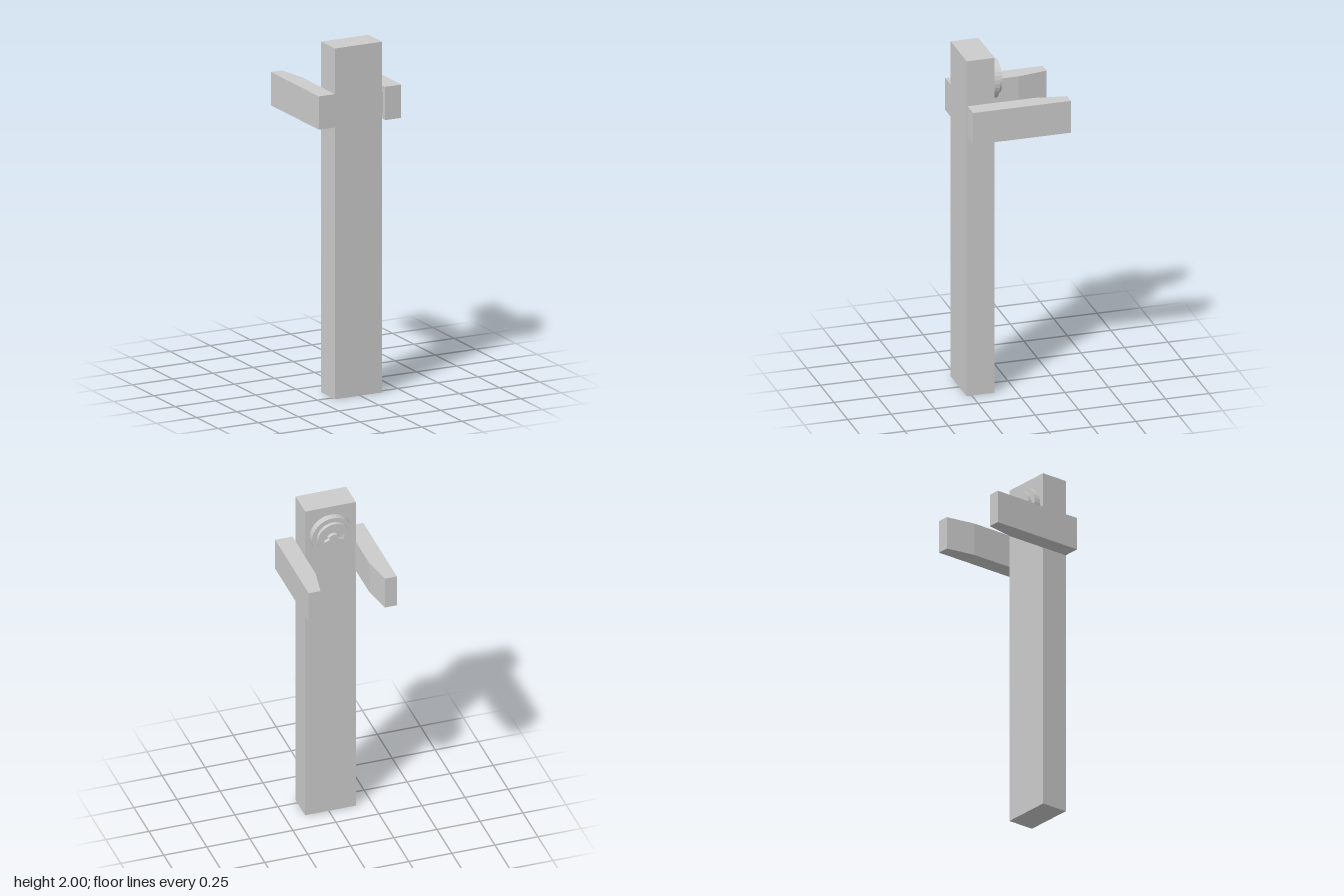
import * as THREE from 'three';

const material = new THREE.MeshStandardMaterial({ color: 0xcccccc, flatShading: true });

function part(parent, name, geometry, x = 0, y = 0, z = 0) {
  const mesh = new THREE.Mesh(geometry, material);
  mesh.name = name;
  mesh.position.set(x, y, z);
  parent.add(mesh);
  return mesh;
}

// Outline of a double-headed curved arrow
function arrowOutline() {
  const points = [];
  const at = (r, a) => points.push(new THREE.Vector2(r * Math.cos(a), r * Math.sin(a) - 0.01));
  const start = 0.45, end = Math.PI - start, steps = 12;
  for (let i = 0; i <= steps; i++) at(0.052, start + (end - start) * i / steps);
  at(0.066, end);
  at(0.056, end + 0.55);
  at(0.022, end);
  for (let i = 0; i <= steps; i++) at(0.036, end - (end - start) * i / steps);
  at(0.022, start);
  at(0.056, start - 0.55);
  at(0.066, start);
  return points;
}

// Arm seen from above, with its inner face tapering toward the tip
function armGeometry(side) {
  const outline = [[0.156, -0.28], [0.256, -0.28], [0.256, 0.282], [0.187, 0.282], [0.156, 0.11]]
    .map(([x, y]) => new THREE.Vector2(x * side, y));
  const geometry = new THREE.ExtrudeGeometry(new THREE.Shape(outline), { depth: 0.19, bevelEnabled: false });
  return geometry.rotateX(-Math.PI / 2);
}

export function createModel() {
  const model = new THREE.Group();
  model.name = 'postWithArms';

  // Upright post
  part(model, 'post', new THREE.BoxGeometry(0.294, 2, 0.16), -0.01, 1, 0.2);

  // Arms on both sides; the left one stands off on a small spacer
  part(model, 'rightArm', armGeometry(-1), 0, 1.55, 0);
  part(model, 'leftArm', armGeometry(1), 0, 1.55, 0);
  part(model, 'spacer', new THREE.BoxGeometry(0.02, 0.12, 0.07), 0.1465, 1.645, 0.22);

  // Stepped round dial on the back of the post
  const dial = new THREE.Group();
  dial.name = 'dial';
  dial.position.set(-0.01, 1.828, 0.12);
  dial.rotation.y = Math.PI;
  model.add(dial);
  part(dial, 'dialBase', new THREE.CylinderGeometry(0.121, 0.121, 0.04, 32).rotateX(Math.PI / 2), 0, 0, 0.02);

  // Dial face with the arrow cut into it
  const face = new THREE.Shape().absarc(0, 0, 0.095, 0, Math.PI * 2, false);
  face.holes.push(new THREE.Path(arrowOutline()));
  part(dial, 'dialFace', new THREE.ExtrudeGeometry(face, { depth: 0.022, bevelEnabled: false, curveSegments: 16 }), 0, 0, 0.04);

  return model;
}
